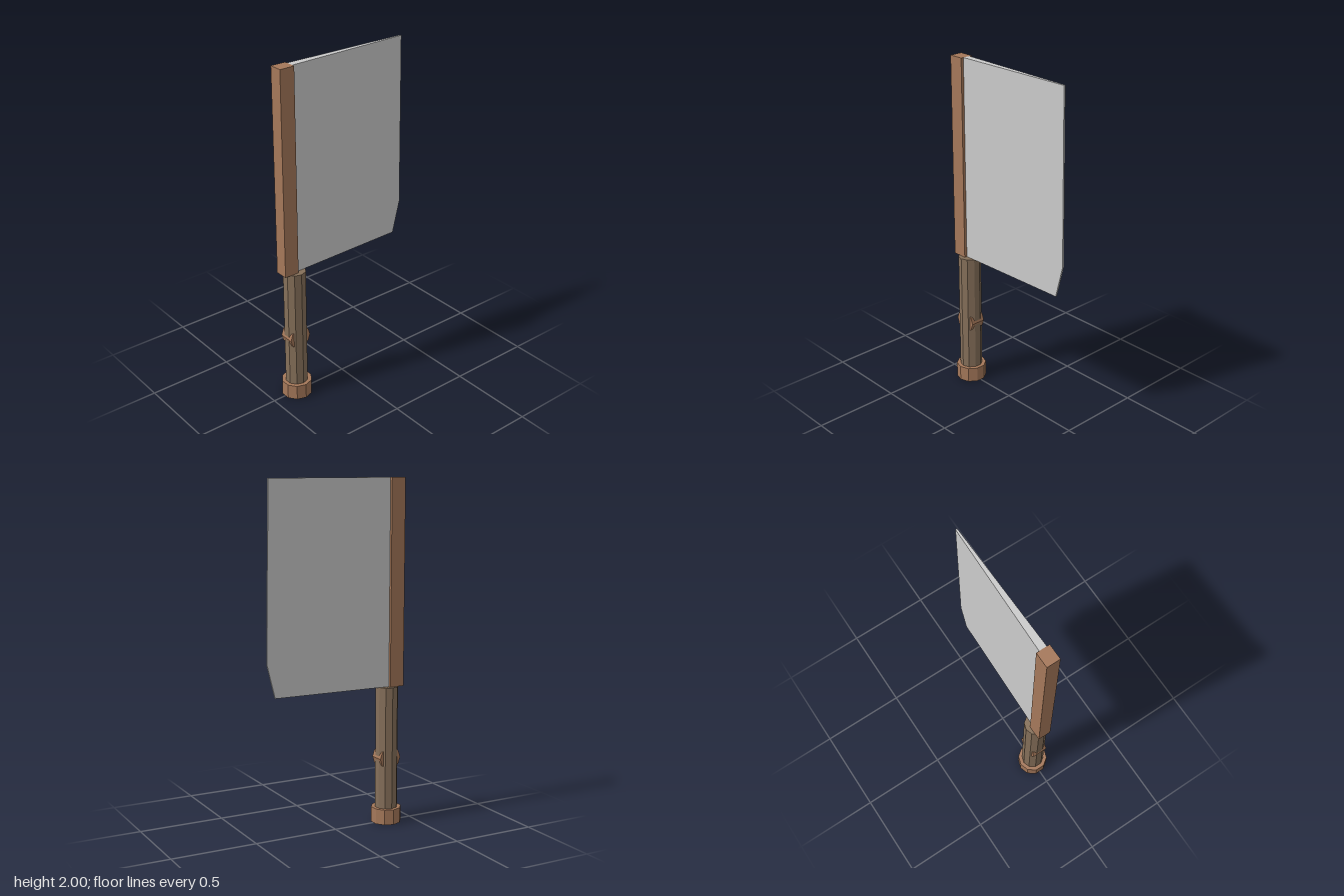
import * as THREE from 'three';

const material = (color) => new THREE.MeshStandardMaterial({ color, flatShading: true });

export function createModel() {
  const model = new THREE.Group();
  const brown = material(0xa5785a);
  const darkBrown = material(0x86705a);
  const steel = material(0xcccccc);
  const gripX = -0.337;

  const add = (name, geometry, mat, x, y) => {
    const mesh = new THREE.Mesh(geometry, mat);
    mesh.name = name;
    mesh.position.set(x, y, 0);
    model.add(mesh);
  };

  // Ten-sided grip and pommel
  add('grip', new THREE.CylinderGeometry(0.066, 0.066, 0.76, 10), darkBrown, gripX, 0.43);
  add('pommel', new THREE.CylinderGeometry(0.0885, 0.0885, 0.09, 10), brown, gripX, 0.045);

  // Short pin running front to back through the grip
  const pin = new THREE.CylinderGeometry(0.067, 0.067, 0.09, 10);
  pin.rotateY(Math.PI / 2).rotateX(Math.PI / 2);
  add('gripPin', pin, brown, gripX, 0.39);

  // Square spine along the back of the blade
  add('spine', new THREE.BoxGeometry(0.088, 1.19, 0.077), brown, -0.381, 1.405);

  // Blade: a box in two tiers, tapering towards a slanted cutting edge
  const rows = [[0.81, 0.378], [1.0, 0.425], [2.0, 0.407]]; // height, edge x
  const blade = new THREE.BoxGeometry(2, 2, 2, 1, 2, 1);
  const p = blade.attributes.position;
  for (let i = 0; i < p.count; i++) {
    const [y, edgeX] = rows[Math.round(p.getY(i)) + 1];
    const isEdge = p.getX(i) > 0;
    p.setXYZ(i, isEdge ? edgeX : gripX, y, p.getZ(i) * (isEdge ? 0.005 : 0.022));
  }
  blade.computeVertexNormals();
  add('blade', blade, steel, 0, 0);

  return model;
}
